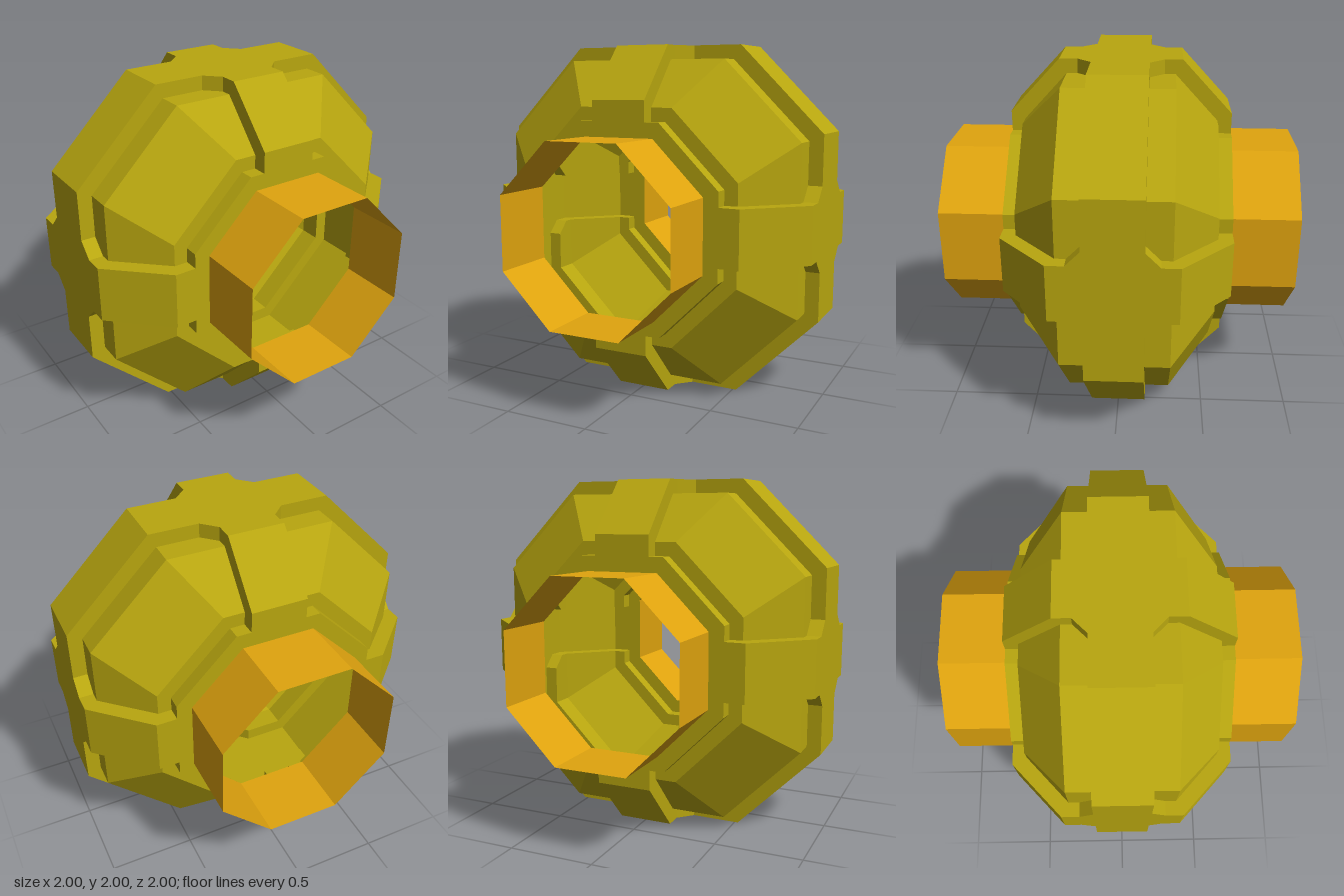
import * as THREE from 'three';

// Adds a flat polygon to `out`, mirrored into all eight octants.
// `ref` is a point the face must look towards; without it the face looks away from the centre.
function addFace(out, pts, ref) {
  const v = pts.map(p => new THREE.Vector3(...p));
  const mid = v.reduce((s, p) => s.add(p), new THREE.Vector3()).divideScalar(v.length);
  const normal = new THREE.Vector3();
  for (let i = 1; i < v.length - 1; i++) {
    normal.add(v[i].clone().sub(v[0]).cross(v[i + 1].clone().sub(v[0])));
  }
  const target = ref ? ref.clone().sub(mid) : mid;
  if (normal.dot(target) < 0) v.reverse();
  for (const sx of [1, -1]) for (const sy of [1, -1]) for (const sz of [1, -1]) {
    const w = v.map(p => [p.x * sx, p.y * sy, p.z * sz]);
    if (sx * sy * sz < 0) w.reverse();
    // keep the same fan corner after reversing
    const k = sx * sy * sz < 0 ? w.length - 1 : 0;
    const f = w.map((_, i) => w[(i + k) % w.length]);
    const start = v.findIndex(p => p.x === pts[0][0] && p.y === pts[0][1] && p.z === pts[0][2]);
    const s = sx * sy * sz < 0 ? (f.length - start) % f.length : start;
    for (let i = 1; i < f.length - 1; i++) {
      out.push(...f[s], ...f[(s + i) % f.length], ...f[(s + i + 1) % f.length]);
    }
  }
}

const swap = ([x, y, z]) => [y, x, z];

// A face next to the x = 0 plane and its twin across the diagonal
function addPair(out, pts, ref) {
  addFace(out, pts, ref);
  addFace(out, pts.map(swap), ref);
}

// A face spanning the diagonal, from two points and their twins
function addDiagonal(out, a, b, ref) {
  addFace(out, [a, swap(a), swap(b), b], ref);
}

function flatMesh(name, positions, material) {
  const geometry = new THREE.BufferGeometry();
  geometry.setAttribute('position', new THREE.Float32BufferAttribute(positions, 3));
  geometry.computeVertexNormals();
  const mesh = new THREE.Mesh(geometry, material);
  mesh.name = name;
  return mesh;
}

export function createModel() {
  const group = new THREE.Group();
  group.name = 'octagonalShell';
  const olive = new THREE.MeshStandardMaterial({ color: 0xb8a60f, flatShading: true, side: THREE.DoubleSide });
  const orange = new THREE.MeshStandardMaterial({ color: 0xe0a40e, flatShading: true, side: THREE.DoubleSide });

  const w = 0.16, c = 0.24; // half width of the bands, end of the corner chamfers

  // Raised bands crossing on the outside, and the collars around the openings
  const bands = [];
  addPair(bands, [[0, 1, 0], [0, 1, 0.34], [w, 1, 0.34], [w, 1, c], [c, 1, w], [0.52, 1, w], [0.52, 1, 0]]);
  addDiagonal(bands, [0.52, 1, 0], [0.52, 1, w]);
  addPair(bands, [[0, 1, 0.34], [w, 1, 0.34], [w, 0.7, 0.62], [0, 0.7, 0.62]]);
  addPair(bands, [[0, 0.5, 0.62], [0, 0.7, 0.62], [w, 0.7, 0.62], [w, 0.585, 0.62],
    [0.243, 0.585, 0.62], [0.207, 0.5, 0.62]]);
  addDiagonal(bands, [0.243, 0.585, 0.62], [0.207, 0.5, 0.62]);
  group.add(flatMesh('raisedBands', bands, olive));

  // Sunken panels between the bands
  const panels = [];
  addPair(panels, [[w, 0.92, 0.3], [w, 0.92, c], [c, 0.92, w], [0.48, 0.92, w], [0.48, 0.92, 0.3]]);
  addDiagonal(panels, [0.48, 0.92, w], [0.48, 0.92, 0.3]);
  addPair(panels, [[w, 0.92, 0.3], [0.48, 0.92, 0.3], [0.28, 0.66, 0.54], [w, 0.66, 0.54]]);
  addDiagonal(panels, [0.48, 0.92, 0.3], [0.28, 0.66, 0.54]);
  addPair(panels, [[w, 0.66, 0.54], [0.28, 0.66, 0.54], [0.243, 0.585, 0.54], [w, 0.585, 0.54]]);
  addDiagonal(panels, [0.28, 0.66, 0.54], [0.243, 0.585, 0.54]);
  group.add(flatMesh('sunkenPanels', panels, olive));

  // Step walls joining the bands to the panels: [band edge, panel edge]
  const steps = [];
  const inside = new THREE.Vector3(0.8, 0.8, 0.5);
  const rim = [
    [[0.52, 1, w], [0.48, 0.92, w]],
    [[c, 1, w], [c, 0.92, w]],
    [[w, 1, c], [w, 0.92, c]],
    [[w, 1, 0.34], [w, 0.92, 0.3]],
    [[w, 0.7, 0.62], [w, 0.66, 0.54]],
    [[w, 0.585, 0.62], [w, 0.585, 0.54]],
    [[0.243, 0.585, 0.62], [0.243, 0.585, 0.54]],
  ];
  for (let i = 0; i < rim.length - 1; i++) {
    addPair(steps, [rim[i][0], rim[i + 1][0], rim[i + 1][1], rim[i][1]], inside);
  }
  addDiagonal(steps, ...rim[0], inside);
  addDiagonal(steps, ...rim[rim.length - 1], inside);
  group.add(flatMesh('stepWalls', steps, olive));

  // Open eight-sided tubes at the front and back
  const radius = 0.5 / Math.cos(Math.PI / 8);
  for (const [name, side] of [['frontTube', 1], ['backTube', -1]]) {
    const geometry = new THREE.CylinderGeometry(radius, radius, 0.38, 8, 1, true, Math.PI / 8);
    geometry.rotateX(Math.PI / 2);
    const tube = new THREE.Mesh(geometry, orange);
    tube.name = name;
    tube.position.z = side * 0.81;
    group.add(tube);
  }

  // Stand on the ground
  group.children.forEach(part => { part.position.y = 1; });
  return group;
}
